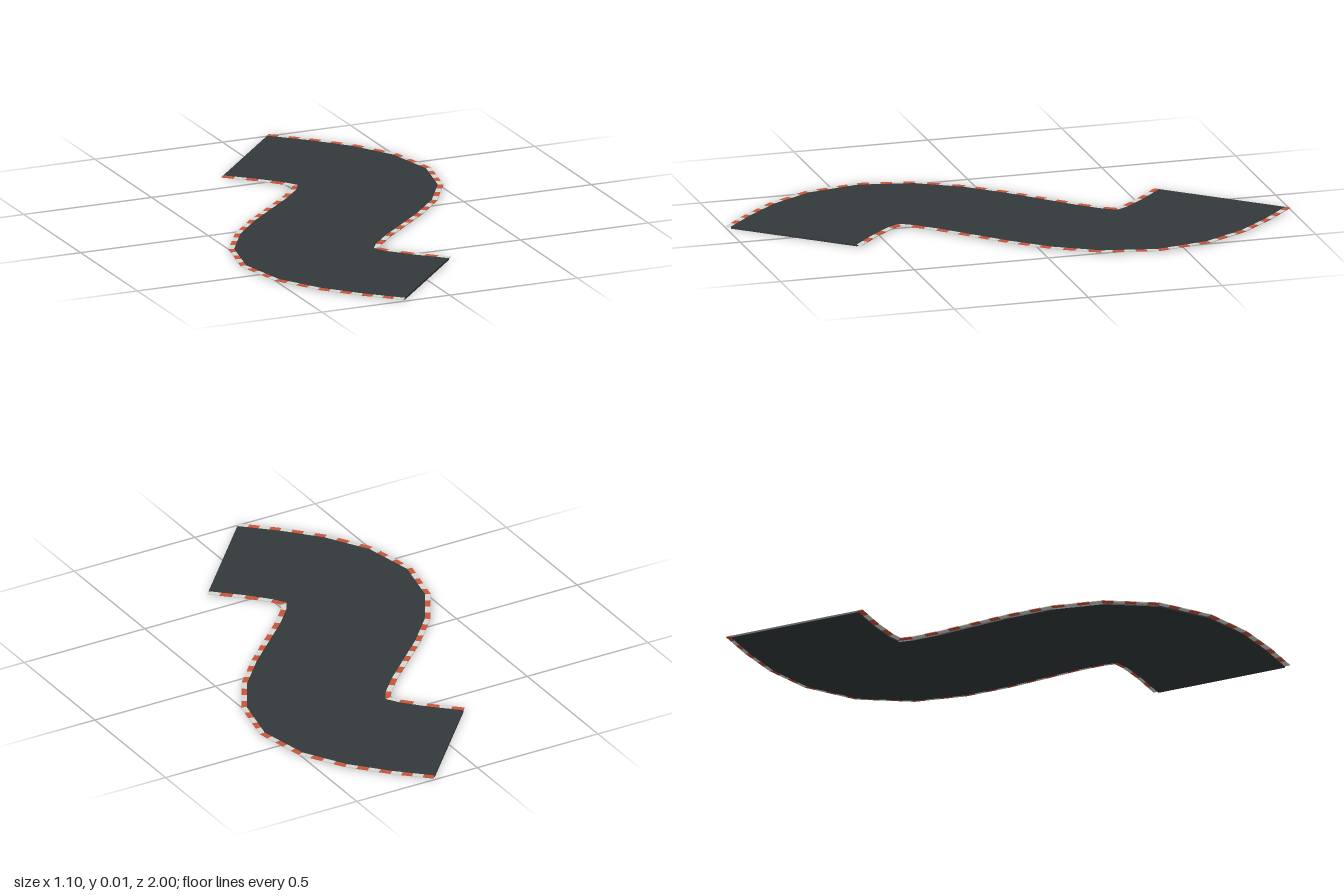
import * as THREE from 'three';
import { mergeGeometries } from 'three/addons/utils/BufferGeometryUtils.js';

const SEGMENTS = 16, HALF_LENGTH = 0.8, SWAY = 0.28;
const ROAD_HALF = 0.25, KERB_HALF = 0.27, STRIPE = 0.043;

// Point [x, z] beside the S-shaped centre line, offset along its normal
function edgePoint(i, offset) {
  const z = -HALF_LENGTH + (2 * HALF_LENGTH * i) / SEGMENTS;
  const k = Math.PI / HALF_LENGTH;
  const slope = -SWAY * k * Math.cos(k * z);
  const n = Math.hypot(1, slope);
  return [-SWAY * Math.sin(k * z) + offset / n, z - (offset * slope) / n];
}

// Closed flat strip through rows of [low-side point, high-side point]
function strip(rows, y0, y1) {
  const pos = [];
  const quad = (a, b, c, d) => pos.push(...a, ...b, ...c, ...a, ...c, ...d);
  const at = ([x, z], y) => [x, y, z];
  for (let i = 0; i < rows.length - 1; i++) {
    const [a, b] = rows[i], [c, d] = rows[i + 1];
    quad(at(a, y1), at(c, y1), at(d, y1), at(b, y1));
    quad(at(a, y0), at(b, y0), at(d, y0), at(c, y0));
    quad(at(a, y0), at(c, y0), at(c, y1), at(a, y1));
    quad(at(b, y1), at(d, y1), at(d, y0), at(b, y0));
  }
  const [a, b] = rows[0], [c, d] = rows[rows.length - 1];
  quad(at(a, y0), at(a, y1), at(b, y1), at(b, y0));
  quad(at(c, y1), at(c, y0), at(d, y0), at(d, y1));
  const geo = new THREE.BufferGeometry();
  geo.setAttribute('position', new THREE.Float32BufferAttribute(pos, 3));
  geo.computeVertexNormals();
  return geo;
}

const mix = (p, q, t) => [p[0] + (q[0] - p[0]) * t, p[1] + (q[1] - p[1]) * t];

// Striped kerb along one side, as one geometry per colour
function kerbStripes(side) {
  const stripes = [[], []];
  const offsets = side > 0 ? [ROAD_HALF, KERB_HALF] : [-KERB_HALF, -ROAD_HALF];
  let colour = 0;
  for (let i = 0; i < SEGMENTS; i++) {
    const start = offsets.map((o) => edgePoint(i, o));
    const end = offsets.map((o) => edgePoint(i + 1, o));
    const p = mix(start[0], start[1], 0.5), q = mix(end[0], end[1], 0.5);
    const length = Math.hypot(q[0] - p[0], q[1] - p[1]);
    const count = Math.max(1, Math.round(length / STRIPE));
    for (let j = 0; j < count; j++) {
      const rows = [j / count, (j + 1) / count].map((t) => [mix(start[0], end[0], t), mix(start[1], end[1], t)]);
      stripes[colour].push(strip(rows, 0.005, 0.0075));
      if (length > 0.02) colour = 1 - colour;
    }
  }
  return stripes.map((list) => mergeGeometries(list));
}

export function createModel() {
  const group = new THREE.Group();
  group.name = 'curvedRoad';
  const material = (color) => new THREE.MeshStandardMaterial({ color, side: THREE.DoubleSide });
  const add = (parent, name, geometry, mat) => {
    const mesh = new THREE.Mesh(geometry, mat);
    mesh.name = name;
    parent.add(mesh);
  };

  // Asphalt slab
  const rows = [];
  for (let i = 0; i <= SEGMENTS; i++) rows.push([edgePoint(i, -ROAD_HALF), edgePoint(i, ROAD_HALF)]);
  add(group, 'roadSurface', strip(rows, 0, 0.007), material(0x33393b));

  // Red and white kerbs on both sides
  const red = material(0xc8553a), white = material(0xd8d6d0);
  for (const [side, name] of [[1, 'leftKerb'], [-1, 'rightKerb']]) {
    const kerb = new THREE.Group();
    kerb.name = name;
    const [redGeo, whiteGeo] = kerbStripes(side);
    add(kerb, 'redStripes', redGeo, red);
    add(kerb, 'whiteStripes', whiteGeo, white);
    group.add(kerb);
  }
  return group;
}
